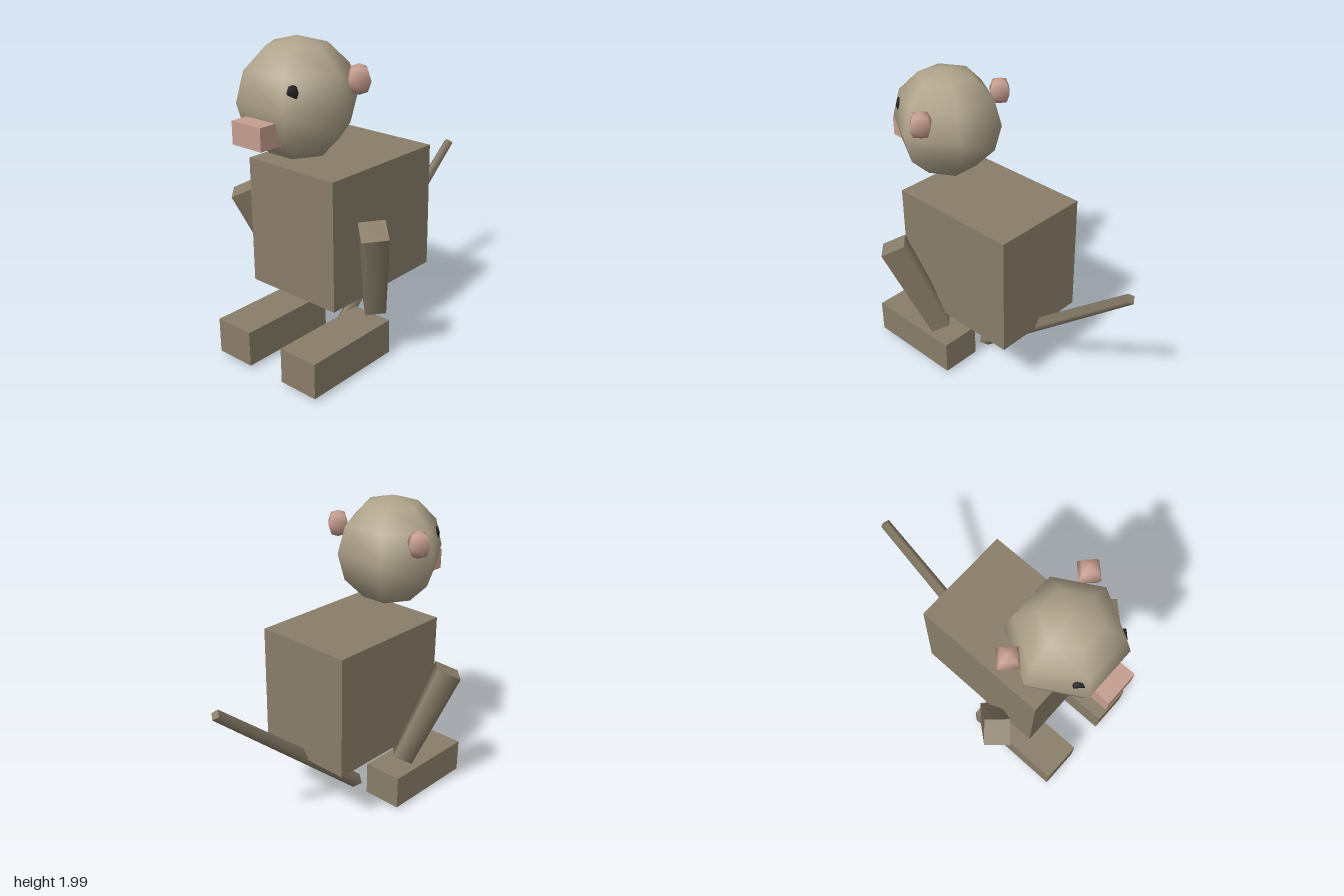
import * as THREE from 'three';

const material = (color) => new THREE.MeshStandardMaterial({ color });
const fur = material(0x8a7e6a);
const headFur = material(0xb0a48c);
const pink = material(0xc69e90);
const black = material(0x222222);

export function createModel() {
  const group = new THREE.Group();

  const add = (name, geometry, mat, x, y, z) => {
    const mesh = new THREE.Mesh(geometry, mat);
    mesh.name = name;
    mesh.position.set(x, y, z);
    group.add(mesh);
    return mesh;
  };

  // Body, head and snout
  add('body', new THREE.BoxGeometry(0.66, 0.793, 0.885), fur, 0, 0.853, 0.198);
  add('head', new THREE.SphereGeometry(0.35, 6, 6), headFur, 0, 1.65, 0.553);
  add('snout', new THREE.BoxGeometry(0.22, 0.133, 0.22), pink, 0, 1.518, 0.84);

  // Paired parts, mirrored across x
  for (const [label, s] of [['left', 1], ['right', -1]]) {
    add(label + 'Ear', new THREE.SphereGeometry(0.087, 4, 4), pink, s * 0.33, 1.782, 0.418);
    add(label + 'Eye', new THREE.SphereGeometry(0.044, 4, 4), black, s * 0.176, 1.753, 0.771);
    add(label + 'Foot', new THREE.BoxGeometry(0.267, 0.222, 0.663), fur, s * 0.266, 0.144, 0.553);
    // Tapered square arm, leaning outwards and forwards
    const arm = add(label + 'Arm', new THREE.CylinderGeometry(0.11, 0.088, 0.665, 4), fur, s * 0.44, 0.677, 0.418);
    arm.rotation.set(0.338, 0, s * -0.257);
  }

  // Long thin tail rising to the back
  const tail = add('tail', new THREE.CylinderGeometry(0.034, 0.05, 1.545, 4), fur, 0, 0.541, -0.33);
  tail.rotation.x = -0.874;

  return group;
}
